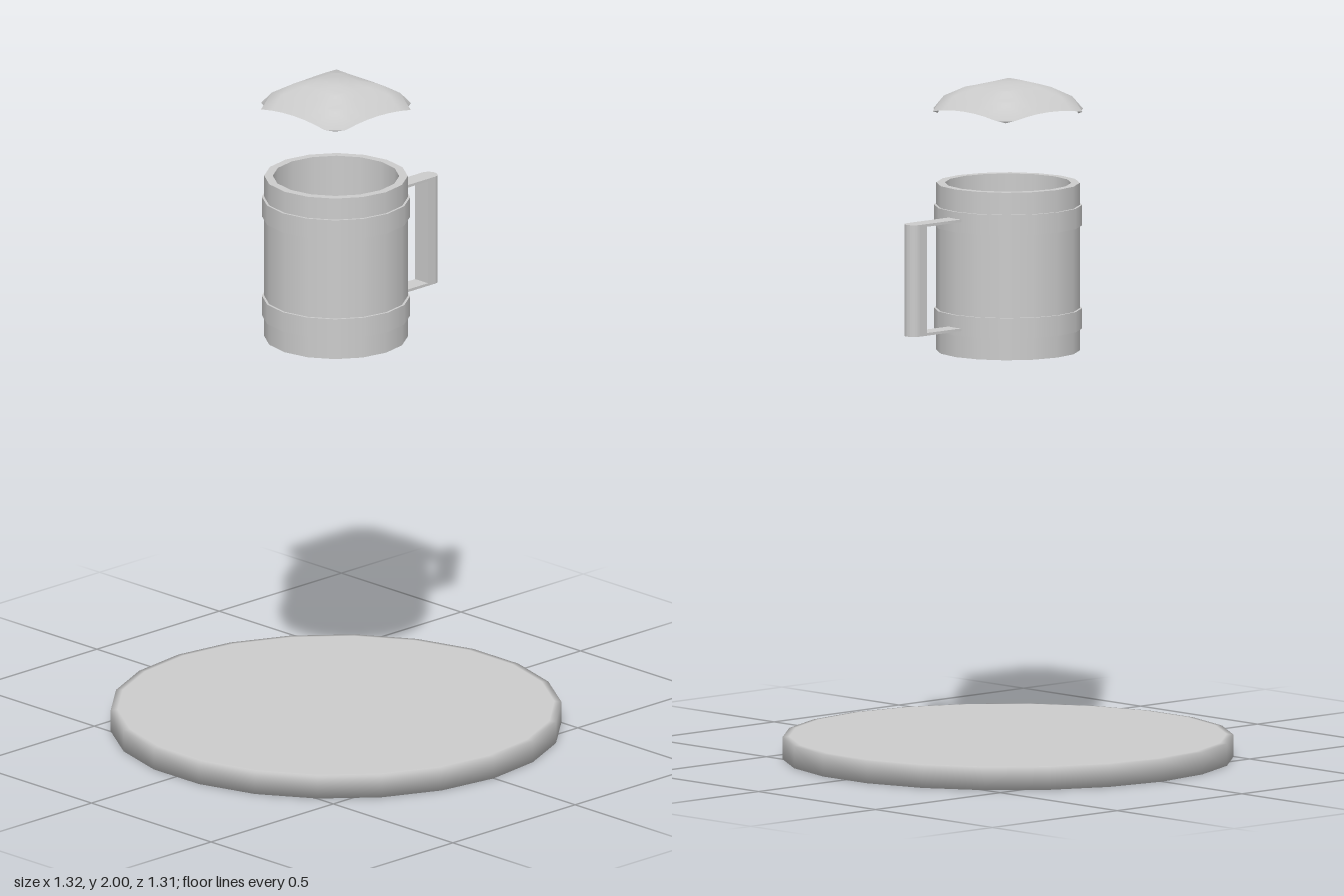
import * as THREE from 'three';

const grey = new THREE.MeshStandardMaterial({ color: 0xcccccc });
const greyDouble = new THREE.MeshStandardMaterial({ color: 0xcccccc, side: THREE.DoubleSide });

function add(parent, name, geometry, material = grey) {
  const mesh = new THREE.Mesh(geometry, material);
  mesh.name = name;
  parent.add(mesh);
  return mesh;
}

// Turned surface: smooth inside one profile, sharp between profiles
function turned(parent, name, sides, ...profiles) {
  const part = new THREE.Group();
  part.name = name;
  profiles.forEach((profile, i) => {
    const points = profile.map(([r, y]) => new THREE.Vector2(r, y));
    add(part, `${name}Surface${i + 1}`, new THREE.LatheGeometry(points, sides, Math.PI / 2));
  });
  parent.add(part);
}

// Soft, roughly square foam cap with drooping edges and notched corners
function foamGeometry() {
  const n = 8, half = 0.177;
  const geo = new THREE.PlaneGeometry(2, 2, n, n).rotateX(-Math.PI / 2);
  const pos = geo.attributes.position;
  for (let i = 0; i < pos.count; i++) {
    const u = pos.getX(i), v = pos.getZ(i);
    const m = Math.max(Math.abs(u), Math.abs(v));
    const corner = Math.abs(u * v) > 0.99;
    const lump = 0.004 * Math.sin(3 * u + 1) * Math.sin(4 * v) * (1 - m * m);
    const y = 2 - 0.073 * Math.pow(m, 2.4) - 0.022 * u * u * v * v + lump;
    const s = corner ? 0.145 : half;
    pos.setXYZ(i, u * s, y, v * s);
  }
  geo.computeVertexNormals();
  return geo;
}

export function createModel() {
  const model = new THREE.Group();
  model.name = 'mugAndTray';

  // Round tray with a flat rim ring
  turned(model, 'tray', 22,
    [[0, 0], [0.66, 0], [0.66, 0.065], [0.64, 0.067]],
    [[0.64, 0.067], [0, 0.067]]);

  const mug = new THREE.Group();
  mug.name = 'mug';
  model.add(mug);

  // Hollow mug body with a floor set slightly above the foot
  turned(mug, 'body', 16,
    [[0.21, 1.205], [0.21, 1.7]],
    [[0.21, 1.7], [0.185, 1.7]],
    [[0.185, 1.7], [0.185, 1.225]],
    [[0.185, 1.225], [0, 1.225]],
    [[0, 1.212], [0.185, 1.212]],
    [[0.185, 1.212], [0.185, 1.205]],
    [[0.185, 1.205], [0.21, 1.205]]);

  // Two hoops around the body
  [['lowerBand', 1.27], ['upperBand', 1.575]].forEach(([name, y]) => turned(mug, name, 16,
    [[0.205, y], [0.217, y]],
    [[0.217, y], [0.217, y + 0.06]],
    [[0.217, y + 0.06], [0.205, y + 0.06]]));

  // Handle at the back: rounded upright grip and two thin straps
  const handle = new THREE.Group();
  handle.name = 'handle';
  mug.add(handle);
  const w = 0.027, inner = 0.35, outer = 0.405;
  const outline = new THREE.Shape();
  outline.moveTo(-w, inner);
  outline.lineTo(w, inner);
  outline.lineTo(w, outer - w);
  outline.absarc(0, outer - w, w, 0, Math.PI, false);
  outline.lineTo(-w, inner);
  const grip = new THREE.ExtrudeGeometry(outline, { depth: 0.33, bevelEnabled: false, curveSegments: 8 });
  add(handle, 'grip', grip.rotateX(-Math.PI / 2).translate(0, 1.285, 0));
  [['lowerStrap', 1.289], ['upperStrap', 1.611]].forEach(([name, y]) => {
    add(handle, name, new THREE.BoxGeometry(2 * w, 0.008, 0.16)).position.set(0, y, -0.28);
  });

  // Foam floating above the mug
  add(model, 'foam', foamGeometry(), greyDouble);

  return model;
}
